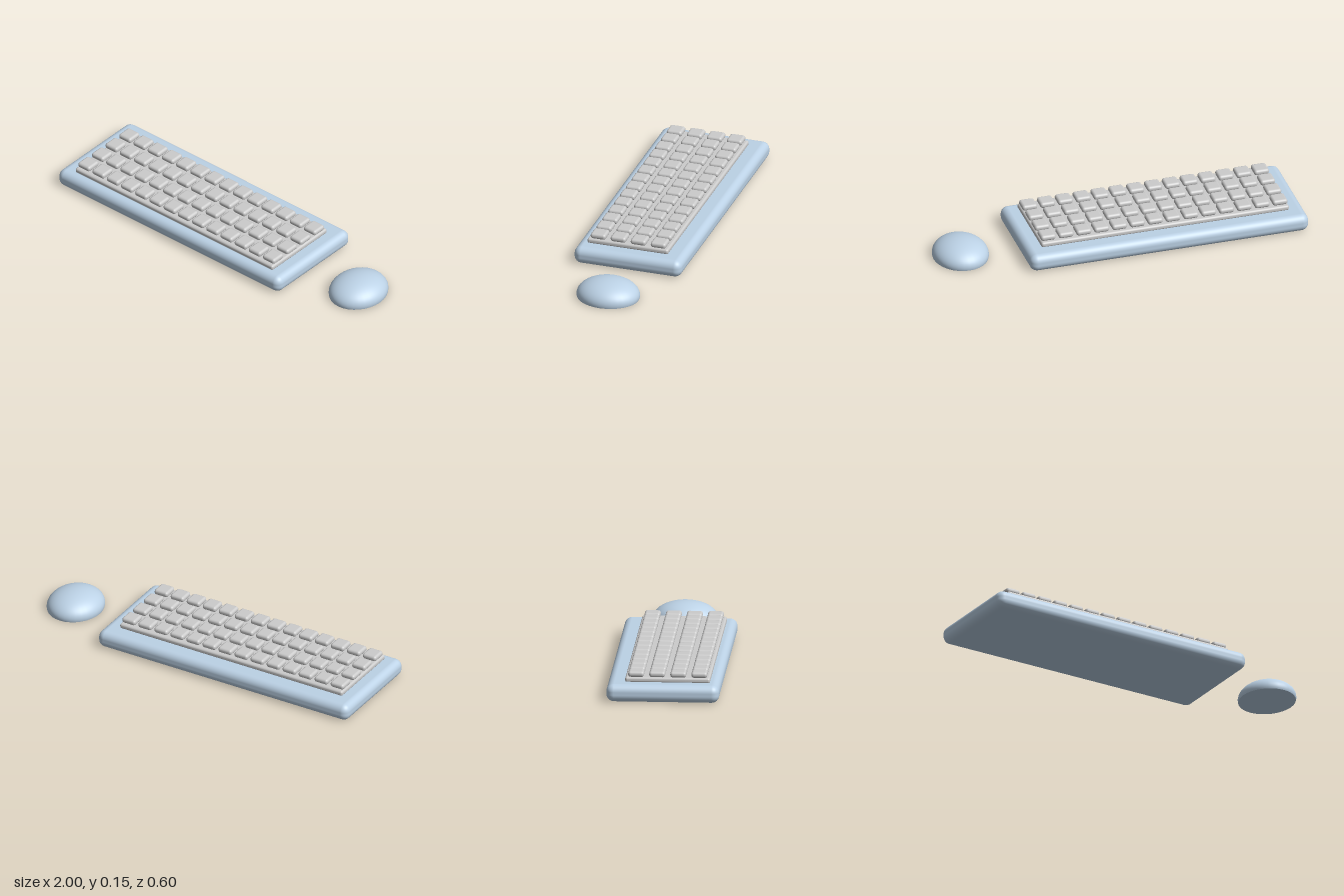
import * as THREE from 'three';
import { RoundedBoxGeometry } from 'three/addons/geometries/RoundedBoxGeometry.js';

export function createModel() {
  const model = new THREE.Group();
  model.name = 'keyboardAndMouse';
  const blue = new THREE.MeshStandardMaterial({ color: 0xbcd2e6 });
  const grey = new THREE.MeshStandardMaterial({ color: 0xcccccc });

  const add = (parent, name, geometry, material, x, y, z) => {
    const mesh = new THREE.Mesh(geometry, material);
    mesh.name = name;
    mesh.position.set(x, y, z);
    parent.add(mesh);
    return mesh;
  };

  // Keyboard case and the raised plate under the keys
  const keyboard = new THREE.Group();
  keyboard.name = 'keyboard';
  model.add(keyboard);
  add(keyboard, 'case', new RoundedBoxGeometry(1.545, 0.095, 0.6, 5, 0.04), blue, -0.2275, 0.0475, 0);
  add(keyboard, 'keyPlate', new RoundedBoxGeometry(1.375, 0.03, 0.452, 4, 0.012), grey, -0.2275, 0.105, 0.022);

  // Four rows of fourteen keys
  const keys = new THREE.Group();
  keys.name = 'keys';
  keyboard.add(keys);
  const keyGeometry = new RoundedBoxGeometry(0.082, 0.031, 0.085, 3, 0.014);
  for (let row = 0; row < 4; row++) {
    for (let col = 0; col < 14; col++) {
      add(keys, `key_${row + 1}_${col + 1}`, keyGeometry, grey,
        -0.871 + col * 0.099, 0.1345, -0.146 + row * 0.112);
    }
  }

  // Mouse: an ellipsoid cut flat just below its widest point
  const mouse = new THREE.Group();
  mouse.name = 'mouse';
  mouse.position.set(0.85, 0, 0);
  model.add(mouse);
  const halfHeight = 0.089, centreY = 0.015;
  const cut = Math.acos(-centreY / halfHeight);
  const shell = new THREE.SphereGeometry(1, 32, 18, 0, Math.PI * 2, 0, cut);
  add(mouse, 'mouseShell', shell, blue, 0, centreY, 0).scale.set(0.15, halfHeight, 0.171);
  const base = new THREE.CircleGeometry(Math.sin(cut), 32).rotateX(Math.PI / 2);
  add(mouse, 'mouseBase', base, blue, 0, 0, 0).scale.set(0.15, 1, 0.171);

  return model;
}
